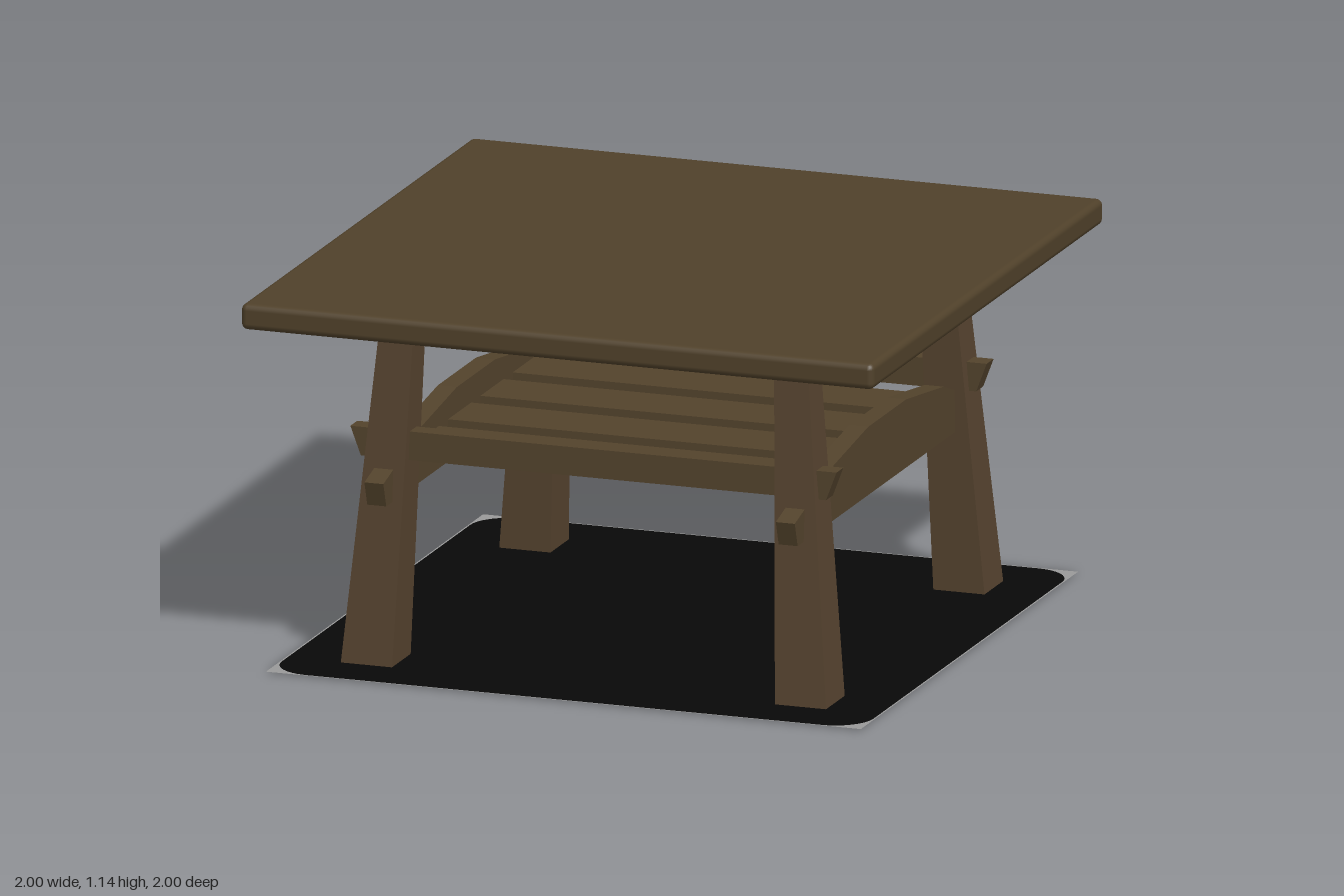
import * as THREE from 'three';
import { RoundedBoxGeometry } from 'three/addons/geometries/RoundedBoxGeometry.js';

export function createModel() {
  const model = new THREE.Group();
  const material = (name, color, side = THREE.FrontSide) => {
    const m = new THREE.MeshStandardMaterial({ color, side });
    m.name = name;
    return m;
  };
  const topWood = material('topWood', 0x50412a);
  const legWood = material('legWood', 0x56432f);
  const railWood = material('railWood', 0x53432c);
  const black = material('black', 0x080808, THREE.DoubleSide);
  const grey = material('grey', 0x999999, THREE.DoubleSide);

  const add = (name, geometry, mat, x = 0, y = 0, z = 0) => {
    const mesh = new THREE.Mesh(geometry, mat);
    mesh.name = name;
    mesh.position.set(x, y, z);
    model.add(mesh);
    return mesh;
  };

  // Square top with softened edges
  add('tableTop', new RoundedBoxGeometry(2, 0.08, 2, 2, 0.02), topWood, 0, 1.105, 0);

  // Splayed legs, tapering towards the top
  const legHeight = 1.08;
  for (const sx of [-1, 1]) {
    for (const sz of [-1, 1]) {
      const g = new THREE.BoxGeometry(1, legHeight, 1);
      const p = g.attributes.position;
      for (let i = 0; i < p.count; i++) {
        const top = p.getY(i) > 0;
        const width = top ? 0.104 : 0.162;
        const centre = top ? 0.62 : 0.686;
        p.setXYZ(i, sx * centre + p.getX(i) * width, top ? legHeight : 0,
          sz * centre + p.getZ(i) * width);
      }
      g.computeVertexNormals();
      add('leg', g, legWood);
    }
  }

  // Rails: half outlines mirrored, then extruded to thickness
  const railGeometry = (half) => {
    const outline = [...half, ...half.map(([u, y]) => [-u, y]).reverse()];
    const shape = new THREE.Shape(outline.map(([u, y]) => new THREE.Vector2(u, y)));
    const g = new THREE.ExtrudeGeometry(shape, { depth: 0.06, bevelEnabled: false });
    return g.translate(0, 0, -0.03);
  };
  const archedRail = railGeometry([
    [0.775, 0.5], [0.8, 0.575], [0.57, 0.635], [0.49, 0.665], [0.165, 0.71],
  ]).rotateY(Math.PI / 2);
  const straightRail = railGeometry([[0.735, 0.622], [0.768, 0.71]]);
  for (const s of [-1, 1]) {
    add('archedSideRail', archedRail, railWood, s * 0.65, 0, 0);
    add('straightRail', straightRail, railWood, 0, 0, s * 0.65);
  }

  // Shelf slats between the arched rails
  const slat = new THREE.BoxGeometry(1.26, 0.055, 0.2);
  for (let i = 0; i < 4; i++) {
    add('shelfSlat', slat, railWood, 0, 0.603, -0.42 + i * 0.28);
  }

  // Thin dark floor sheet with rounded corners and pale corner tips
  const half = 0.94, r = 0.12, inner = half - 0.005, c = inner - r;
  const rounded = (path) => {
    path.absarc(c, c, r, 0, Math.PI / 2);
    path.absarc(-c, c, r, Math.PI / 2, Math.PI);
    path.absarc(-c, -c, r, Math.PI, Math.PI * 1.5);
    path.absarc(c, -c, r, Math.PI * 1.5, Math.PI * 2);
    return path;
  };
  const flat = (shape) => new THREE.ShapeGeometry(shape, 6).rotateX(-Math.PI / 2);
  add('floorSheet', flat(rounded(new THREE.Shape())), black, 0, 0.004, 0);
  const border = new THREE.Shape([[-1, -1], [1, -1], [1, 1], [-1, 1]]
    .map(([x, y]) => new THREE.Vector2(x * half, y * half)));
  border.holes.push(rounded(new THREE.Path()));
  add('floorSheetCorners', flat(border), grey, 0, 0.004, 0);

  return model;
}
